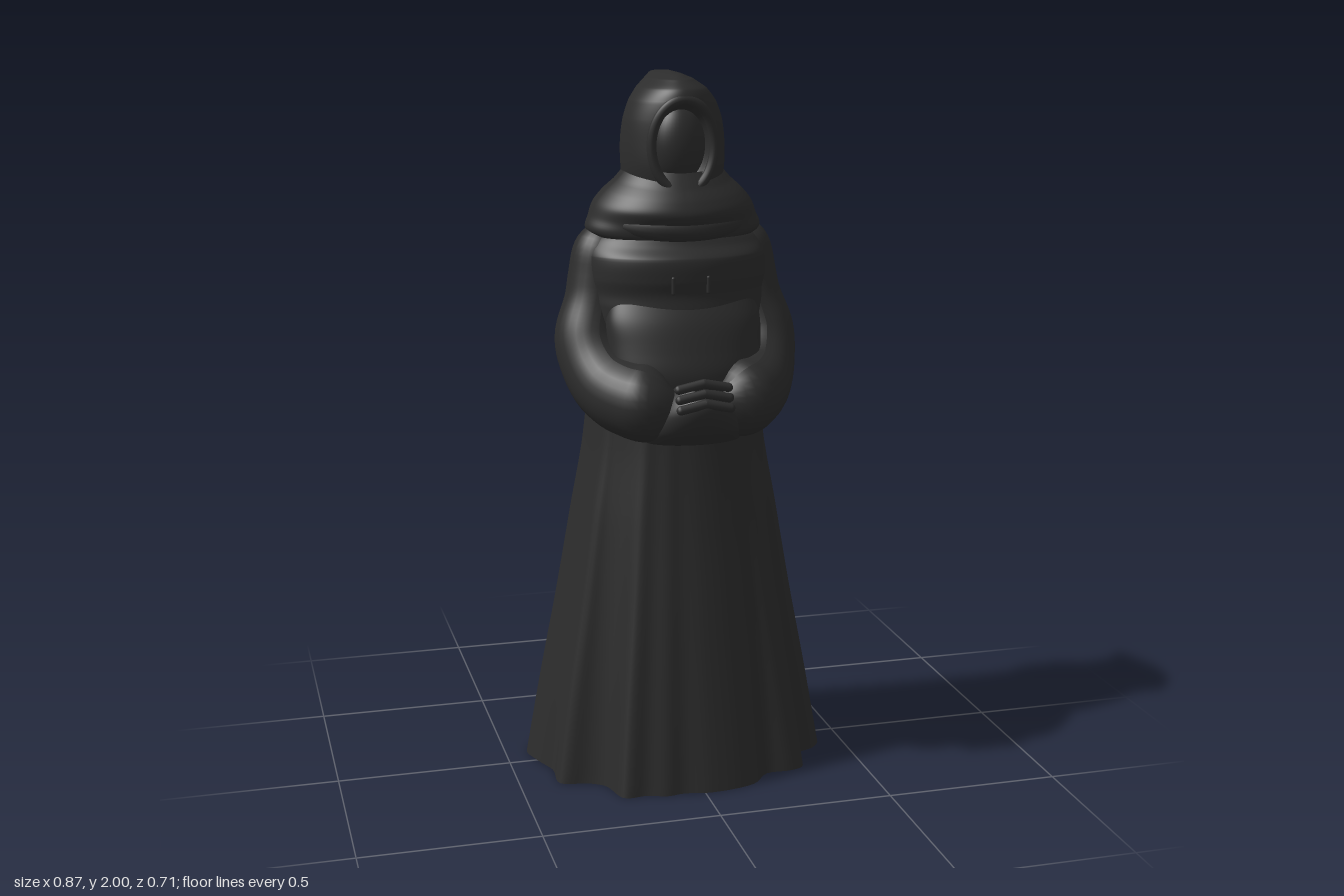
import * as THREE from 'three';

const cloth = new THREE.MeshStandardMaterial({ color: 0x2c2c2c });
cloth.name = 'charcoal cloth';

const add = (parent, name, geometry) => {
  const mesh = new THREE.Mesh(geometry, cloth);
  mesh.name = name;
  parent.add(mesh);
  return mesh;
};

const SEGS = 160;
const circle = Array.from({ length: SEGS }, (_, j) => ({ a: (j / SEGS) * Math.PI * 2, m: 1 }));

// Smooth upright skin through rows of [y, half width, front z, back z].
// The outline gives an angle and radius factor; fold(y) says how much of it remains.
function loft(rows, steps, outline = circle, fold = () => 0, rule = null) {
  const size = new THREE.CatmullRomCurve3(rows.map(r => new THREE.Vector3(r[1], r[2], r[3])), false, 'catmullrom');
  const pos = [], index = [];
  for (let i = 0; i <= steps; i++) {
    const t = i / steps, s = size.getPoint(t);
    const k = Math.min(Math.floor(t * (rows.length - 1)), rows.length - 2);
    const y = THREE.MathUtils.lerp(rows[k][0], rows[k + 1][0], t * (rows.length - 1) - k);
    outline.forEach(({ a, m }, j) => {
      const f = 1 + (m - 1) * fold(y);
      const v = new THREE.Vector3(Math.max(s.x, 0.001) * f * Math.cos(a), y,
        (s.y + s.z) / 2 + ((s.y - s.z) / 2) * f * Math.sin(a));
      if (rule) rule(v);
      pos.push(v.x, v.y, v.z);
      if (i < steps) {
        const n = (j + 1) % SEGS, p = i * SEGS, q = p + SEGS;
        index.push(p + j, q + j, p + n, q + j, q + n, p + n);
      }
    });
  }
  const g = new THREE.BufferGeometry();
  g.setAttribute('position', new THREE.Float32BufferAttribute(pos, 3));
  g.setIndex(index);
  g.computeVertexNormals();
  return g;
}

// Tube whose radius follows a list spread evenly along the path.
function taperedTube(points, radii, steps = 48, sides = 28) {
  const path = new THREE.CatmullRomCurve3(points.map(p => new THREE.Vector3(...p)));
  const g = new THREE.TubeGeometry(path, steps, 1, sides);
  const profile = new THREE.SplineCurve(radii.map((r, i) => new THREE.Vector2(i, r)));
  const pos = g.attributes.position, v = new THREE.Vector3();
  for (let i = 0; i <= steps; i++) {
    const c = path.getPointAt(i / steps), r = Math.max(profile.getPoint(i / steps).y, 0.001);
    for (let j = 0; j <= sides; j++) {
      const n = i * (sides + 1) + j;
      v.fromBufferAttribute(pos, n).sub(c).multiplyScalar(r).add(c);
      pos.setXYZ(n, v.x, v.y, v.z);
    }
  }
  g.computeVertexNormals();
  return g;
}

export function createModel() {
  const model = new THREE.Group();
  model.name = 'hoodedFigure';

  // Scalloped hem outline as [x, z]
  const hem = new THREE.CatmullRomCurve3([
    [0.43, 0.07], [0.40, 0.12], [0.335, 0.155], [0.325, 0.245], [0.28, 0.263], [0.21, 0.265],
    [0.15, 0.325], [0.02, 0.35], [-0.06, 0.337], [-0.11, 0.343], [-0.165, 0.325], [-0.23, 0.325],
    [-0.265, 0.23], [-0.31, 0.2], [-0.385, 0.18], [-0.388, 0.08], [-0.415, 0.01], [-0.435, -0.08],
    [-0.36, -0.16], [-0.345, -0.265], [-0.30, -0.285], [-0.21, -0.285], [-0.13, -0.345], [-0.03, -0.353],
    [0.09, -0.315], [0.20, -0.33], [0.245, -0.27], [0.29, -0.22], [0.385, -0.2], [0.40, -0.09],
  ].map(([x, z]) => new THREE.Vector3(x, 0, z)), true);
  const hemPoints = hem.getSpacedPoints(SEGS).slice(0, SEGS);
  const scallops = hemPoints.map(p => ({
    a: Math.atan2(p.z / 0.35, p.x / 0.43), m: Math.hypot(p.x / 0.43, p.z / 0.35),
  }));

  // Robe and chest, with folds fading upward
  add(model, 'robe', loft([
    [0, 0.43, 0.35, -0.35], [0.25, 0.388, 0.31, -0.318], [0.5, 0.342, 0.272, -0.285],
    [0.75, 0.3, 0.235, -0.25], [1, 0.258, 0.205, -0.223], [1.2, 0.25, 0.19, -0.207],
    [1.36, 0.262, 0.183, -0.193], [1.40, 0.262, 0.178, -0.186], [1.44, 0.265, 0.185, -0.19],
    [1.5, 0.262, 0.182, -0.187], [1.53, 0.25, 0.15, -0.163], [1.56, 0.22, 0.13, -0.15], [1.62, 0.15, 0.1, -0.13],
  ], 96, scallops, y => Math.max(0, 1 - y / 1.35)));
  const base = new THREE.ShapeGeometry(new THREE.Shape(hemPoints.map(p => new THREE.Vector2(p.x, p.z))));
  add(model, 'robeBase', base.rotateX(Math.PI / 2));

  // Cowl around the shoulders, sagging at the front
  add(model, 'cowl', loft([
    [1.53, 0.2, 0.11, -0.14], [1.56, 0.25, 0.135, -0.165], [1.6, 0.24, 0.15, -0.195],
    [1.635, 0.226, 0.165, -0.213], [1.67, 0.198, 0.152, -0.198], [1.7, 0.165, 0.128, -0.17], [1.74, 0.13, 0.1, -0.15],
  ], 40, circle, undefined, v => { v.y -= 0.12 * Math.max(0, v.z) - 0.03 * Math.abs(v.x); }));
  const roll = circle.filter((_, j) => j % 8 === 0).map(({ a }) => new THREE.Vector3(
    0.195 * Math.cos(a), 1.61 - 0.035 * Math.sin(a), -0.02 + 0.145 * Math.sin(a)));
  add(model, 'cowlRoll', new THREE.TubeGeometry(new THREE.CatmullRomCurve3(roll, true), 96, 0.034, 16, true));

  // Hood with its peak at the back and a hollow for the face
  add(model, 'hood', loft([
    [1.66, 0.125, 0.105, -0.15], [1.70, 0.14, 0.118, -0.165], [1.75, 0.146, 0.125, -0.167],
    [1.81, 0.146, 0.125, -0.17], [1.87, 0.138, 0.125, -0.17], [1.92, 0.12, 0.122, -0.172],
    [1.955, 0.094, 0.11, -0.178], [1.98, 0.06, 0.075, -0.192], [1.992, 0.032, 0.035, -0.206], [2, 0.001, -0.06, -0.07],
  ], 90, circle, undefined, v => {
    const d = Math.hypot(v.x / 0.088, (v.y - 1.803) / 0.125);
    if (v.z > 0 && d < 1) v.z -= 0.06 * THREE.MathUtils.smoothstep(1 - d, 0, 0.3);
  }));
  const rim = circle.filter((_, j) => j % 5 === 0).map(({ a }) => {
    const x = 0.089 * Math.cos(a);
    return new THREE.Vector3(x, 1.803 + 0.126 * Math.sin(a), 0.108 - 1.8 * x * x);
  });
  add(model, 'hoodRim', new THREE.TubeGeometry(new THREE.CatmullRomCurve3(rim, true), 80, 0.014, 12, true));
  const face = add(model, 'face', new THREE.SphereGeometry(1, 40, 28));
  face.scale.set(0.076, 0.112, 0.06);
  face.position.set(0, 1.803, 0.045);

  // Folded arms in wide sleeves, and hands
  for (const [side, s] of [['left', 1], ['right', -1]]) {
    add(model, side + 'Sleeve', taperedTube([
      [0.17 * s, 1.6, -0.03], [0.205 * s, 1.5, -0.02], [0.225 * s, 1.38, -0.01], [0.25 * s, 1.25, 0.02],
      [0.215 * s, 1.15, 0.1], [0.15 * s, 1.115, 0.19], [0.09 * s, 1.115, 0.235], [0.03 * s, 1.12, 0.25],
    ], [0.03, 0.078, 0.085, 0.088, 0.098, 0.1, 0.105, 0.108, 0.1, 0.0]));
    for (let i = 0; i < 3; i++) {
      const finger = add(model, side + 'Finger' + (i + 1), new THREE.CapsuleGeometry(0.013, 0.07, 6, 12));
      finger.rotation.z = s * (Math.PI / 2 - 0.2);
      finger.position.set(0.035 * s, 1.175 - i * 0.026, 0.312 + i * 0.012);
    }
    // Small chest fastening
    const clasp = add(model, side + 'Clasp', new THREE.CapsuleGeometry(0.006, 0.04, 4, 8));
    clasp.position.set(0.05 * s, 1.43, 0.18);
  }

  // Gathered cloth joining the cuffs below the hands
  add(model, 'cuffCloth', loft([
    [0.99, 0.09, 0.23, 0.15], [1.0, 0.135, 0.27, 0.12], [1.04, 0.135, 0.315, 0.12],
    [1.09, 0.115, 0.342, 0.12], [1.13, 0.09, 0.342, 0.12], [1.16, 0.06, 0.31, 0.14],
  ], 30));
  // Cloth filling the lap of the arms beneath the chest
  add(model, 'chestDrape', loft([
    [1.08, 0.22, 0.23, 0], [1.18, 0.22, 0.245, 0], [1.26, 0.22, 0.225, 0],
    [1.33, 0.22, 0.2, 0], [1.4, 0.2, 0.16, 0],
  ], 30));

  return model;
}
